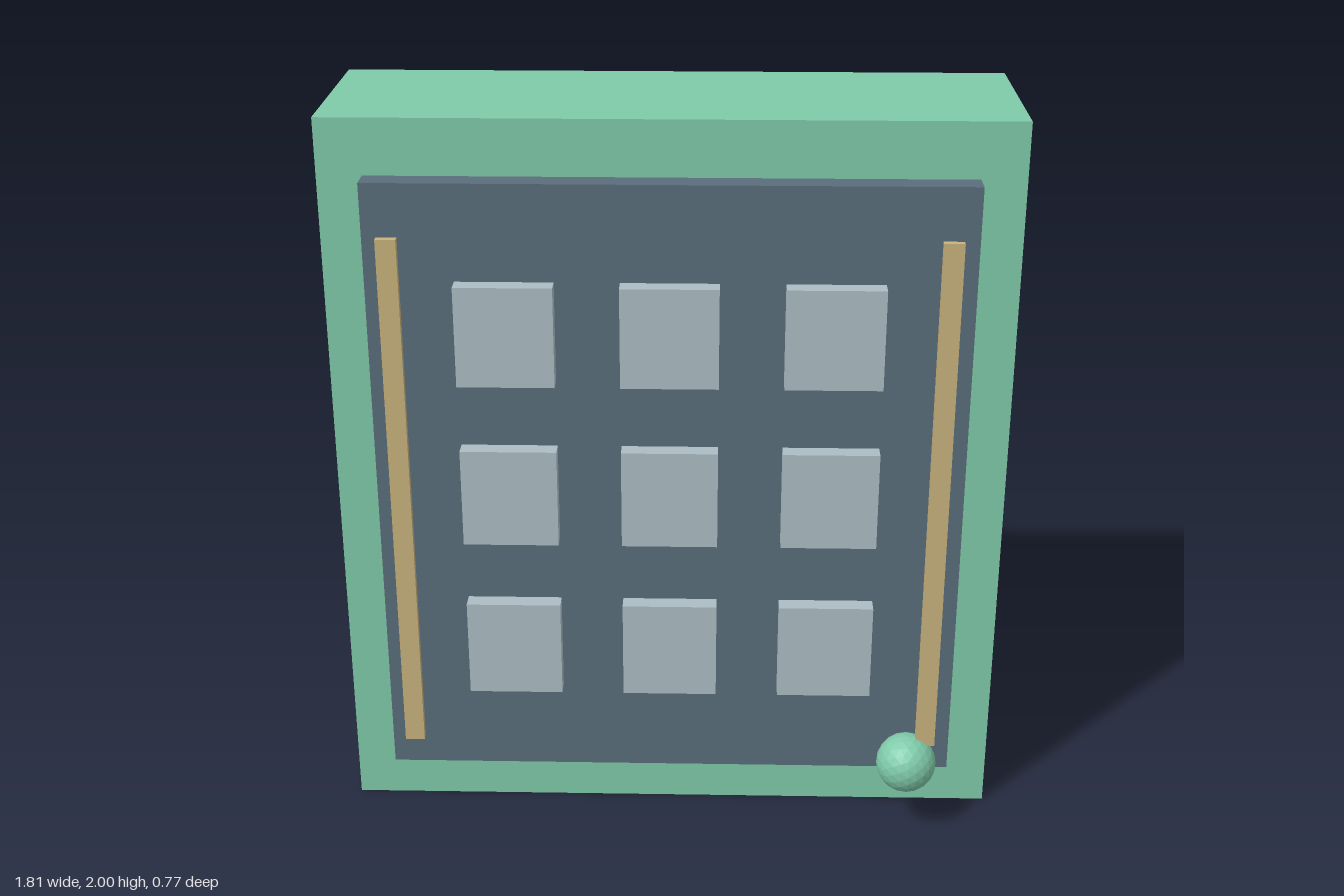
import * as THREE from 'three';

const paint = (name, color) => {
  const m = new THREE.MeshStandardMaterial({ color });
  m.name = name;
  return m;
};

export function createModel() {
  const group = new THREE.Group();
  group.name = 'doorPanel';
  const green = paint('mint green', 0x7fcaa9);
  const slate = paint('slate', 0x5a6e7b);
  const grey = paint('pale grey', 0xacbcc4);
  const brass = paint('brass', 0xc8b27c);
  brass.name = 'brass';

  const box = (name, mat, w, h, d, x, y, z) => {
    const mesh = new THREE.Mesh(new THREE.BoxGeometry(w, h, d), mat);
    mesh.name = name;
    mesh.position.set(x, y, z);
    group.add(mesh);
  };

  // Thick block and the raised panel on its front
  box('block', green, 1.81, 2, 0.542, 0, 1, -0.114);
  box('frontPanel', slate, 1.573, 1.7, 0.07, 0, 1, 0.191);

  // Three by three grid of square tiles
  for (let row = -1; row <= 1; row++) {
    for (let col = -1; col <= 1; col++) {
      box('tile', grey, 0.256, 0.272, 0.05, col * 0.426, 1 + row * 0.455, 0.25);
    }
  }

  // Slim upright rails standing clear of the panel
  for (const side of [-1, 1]) {
    box(side < 0 ? 'rightRail' : 'leftRail', brass, 0.053, 1.456, 0.02, side * 0.711, 1, 0.3);
  }

  // Faceted knob at the lower corner (polyhedra are flat-faceted below)
  const ballGeometry = new THREE.IcosahedronGeometry(0.083, 3);
  ballGeometry.computeVertexNormals();
  const knob = new THREE.Mesh(ballGeometry, green);
  knob.name = 'knob';
  knob.position.set(0.662, 0.214, 0.302);
  group.add(knob);

  return group;
}
